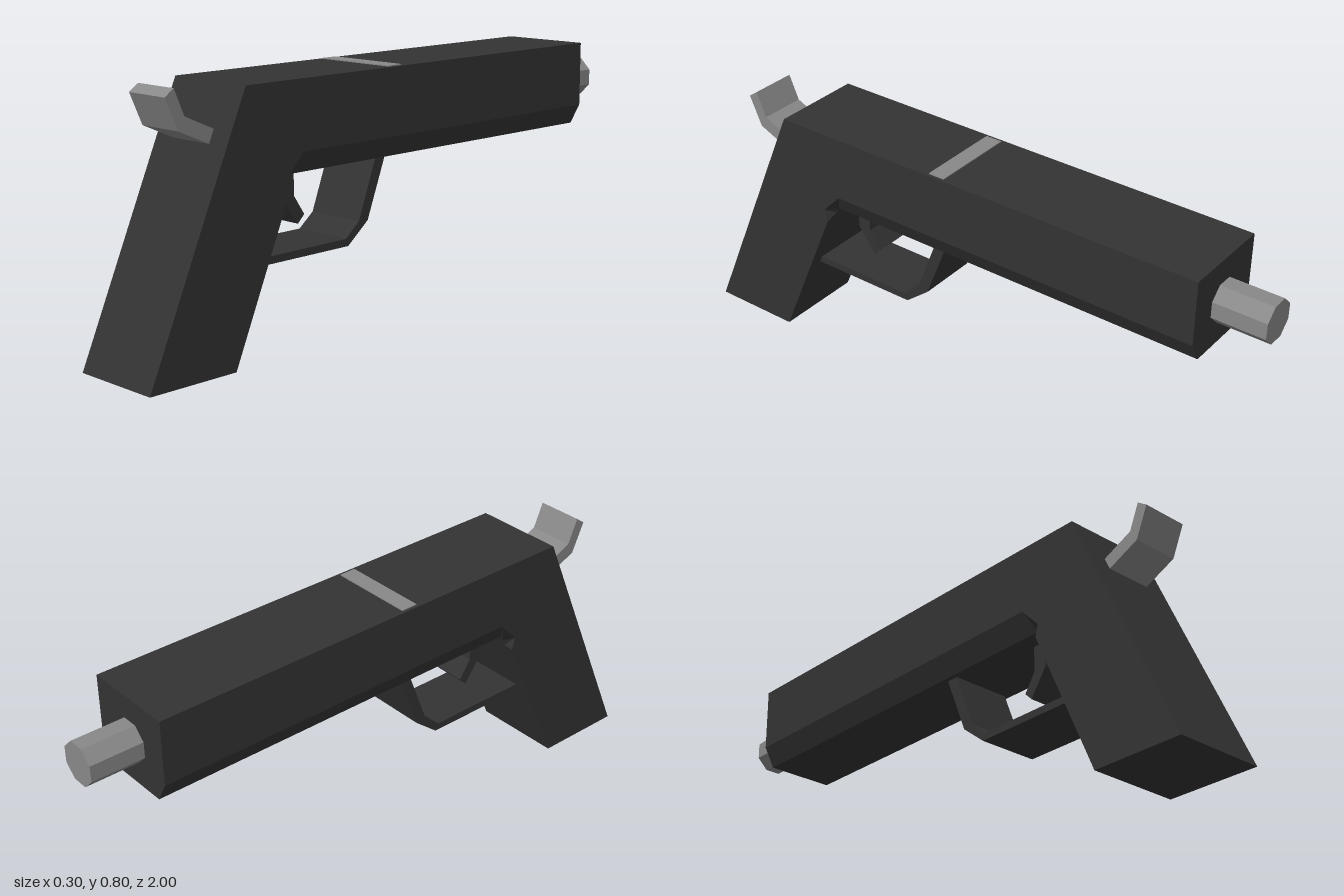
import * as THREE from 'three';

const dark = new THREE.MeshStandardMaterial({ color: 0x333333, flatShading: true });
const grey = new THREE.MeshStandardMaterial({ color: 0x888888, flatShading: true });

const toPoints = (list) => list.map(([z, y]) => new THREE.Vector2(z, y));

// Extrude a side profile of [z, y] points symmetrically across x
function sidePlate(points, width) {
  const geo = new THREE.ExtrudeGeometry(new THREE.Shape(toPoints(points)), {
    depth: width, bevelEnabled: false,
  });
  geo.translate(0, 0, -width / 2);
  return geo.rotateY(-Math.PI / 2);
}

// Join matching clockwise [z, y] outlines placed at ascending x, capping both ends
function loftAcross(sections) {
  const verts = [];
  const put = (x, [z, y]) => verts.push(x, y, z);
  for (let s = 0; s < sections.length - 1; s++) {
    const a = sections[s], b = sections[s + 1], n = a.outline.length;
    for (let j = 0; j < n; j++) {
      const k = (j + 1) % n;
      put(a.x, a.outline[j]); put(a.x, a.outline[k]); put(b.x, b.outline[j]);
      put(a.x, a.outline[k]); put(b.x, b.outline[k]); put(b.x, b.outline[j]);
    }
  }
  for (const [section, sign] of [[sections[0], -1], [sections.at(-1), 1]]) {
    const pts = toPoints(section.outline);
    for (const tri of THREE.ShapeUtils.triangulateShape(pts, [])) {
      const facing = -Math.sign(THREE.ShapeUtils.area(tri.map((i) => pts[i])));
      const order = facing === sign ? tri : [...tri].reverse();
      order.forEach((i) => put(section.x, section.outline[i]));
    }
  }
  const geo = new THREE.BufferGeometry();
  geo.setAttribute('position', new THREE.Float32BufferAttribute(verts, 3));
  geo.computeVertexNormals();
  return geo;
}

export function createModel() {
  const group = new THREE.Group();
  const add = (name, geo, material) => {
    const mesh = new THREE.Mesh(geo, material);
    mesh.name = name;
    group.add(mesh);
    return mesh;
  };

  // Slide and raked grip in one piece, lower edges of the slide chamfered
  const outer = [[0.65, 0.793], [1, 0], [0.7, 0], [0.492, 0.48], [0.502, 0.52],
    [0.44, 0.585], [-0.83, 0.585], [-0.83, 0.793]];
  const inner = [[0.65, 0.793], [1, 0], [0.7, 0], [0.492, 0.48], [0.483, 0.5],
    [0.472, 0.52], [-0.83, 0.52], [-0.83, 0.793]];
  add('body', loftAcross([
    { x: -0.15, outline: outer }, { x: -0.115, outline: inner },
    { x: 0.115, outline: inner }, { x: 0.15, outline: outer },
  ]), dark);

  // Octagonal barrel tip
  const barrel = new THREE.CylinderGeometry(0.067, 0.067, 0.2, 8);
  barrel.rotateY(Math.PI / 8).rotateX(Math.PI / 2);
  add('barrel', barrel, grey).position.set(0, 0.655, -0.9);

  // Bent hammer behind the slide
  add('hammer', sidePlate([[0.68, 0.663], [0.803, 0.718], [0.837, 0.797],
    [0.868, 0.775], [0.826, 0.68], [0.69, 0.62]], 0.153), grey);

  // Trigger
  add('trigger', sidePlate([[0.44, 0.54], [0.44, 0.44], [0.38, 0.355],
    [0.355, 0.38], [0.395, 0.44], [0.395, 0.54]], 0.12), dark);

  // Trigger guard from grip to slide
  add('triggerGuard', sidePlate([[0.61, 0.267], [0.215, 0.267], [0.133, 0.333],
    [0.052, 0.54], [0.092, 0.54], [0.17, 0.335], [0.225, 0.29], [0.6, 0.29]], 0.2), dark);

  // Flat strip across the top
  add('topStrip', new THREE.BoxGeometry(0.28, 0.01, 0.055), grey).position.set(0, 0.791, 0.057);

  return group;
}
